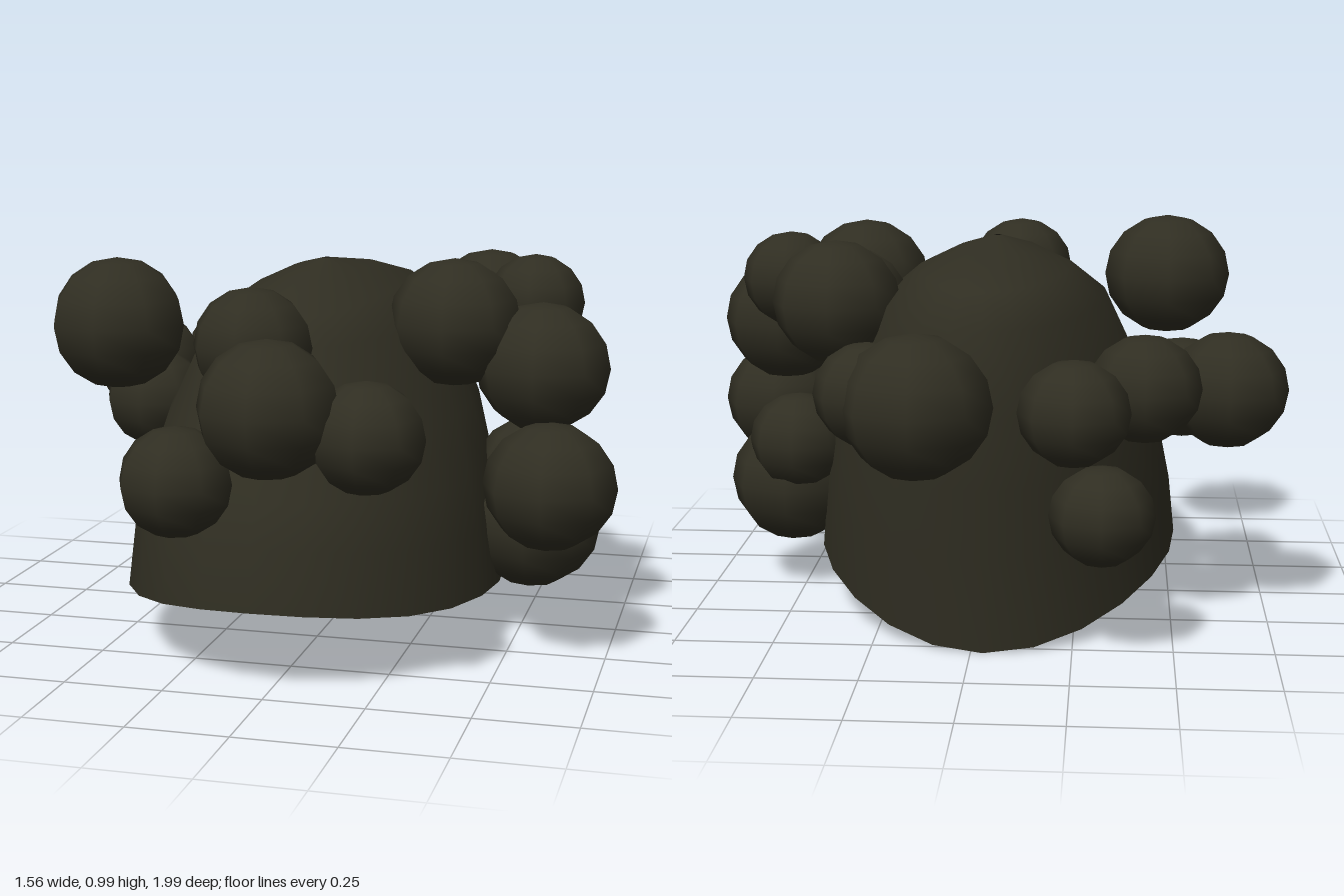
import * as THREE from 'three';

const coat = new THREE.MeshStandardMaterial({ color: 0x302e22 });
coat.name = 'dark olive';
coat.side = THREE.DoubleSide;

// Open dome: each ring is set by its front, back and side points
function domeGeometry() {
  // zFront, yFront, zBack, yBack, halfWidth, ySide, skew
  const rings = [
    [0.755, 0.22, -0.54, 0.01, 0.485, 0.152, 0.07],
    [0.74, 0.37, -0.56, 0.25, 0.468, 0.31, 0.04],
    [0.70, 0.47, -0.58, 0.43, 0.44, 0.45, 0.02],
    [0.66, 0.555, -0.595, 0.61, 0.395, 0.61, 0],
    [0.545, 0.81, -0.585, 0.82, 0.295, 0.83, 0],
    [0.44, 0.87, -0.5, 0.90, 0.20, 0.91, 0],
    [0.25, 0.94, -0.28, 0.945, 0.10, 0.955, 0],
    [0.04, 0.98, 0.02, 0.98, 0.01, 0.98, 0],
  ];
  const n = 24, pos = [], idx = [];
  rings.forEach(([zf, yf, zb, yb, w, ys, k], i) => {
    for (let j = 0; j < n; j++) {
      const t = (j / n) * Math.PI * 2, c = Math.cos(t);
      const tilt = (yf - yb) / 2, bow = (yf + yb) / 2 - ys;
      pos.push(
        -0.03 + w * Math.sin(t),
        ys + tilt * c + bow * c * c - k * c * (1 - c * c),
        (zf + zb) / 2 + ((zf - zb) / 2) * c,
      );
      if (i === rings.length - 1) continue;
      const a = i * n + j, b = i * n + ((j + 1) % n);
      idx.push(a, b, a + n, b, b + n, a + n);
    }
  });
  const g = new THREE.BufferGeometry();
  g.setAttribute('position', new THREE.Float32BufferAttribute(pos, 3));
  g.setIndex(idx);
  g.computeVertexNormals();
  return g;
}

// Round curls: x, y, z, radius
const curls = {
  frontCurl: [
    [0.04, 0.72, 0.82, 0.168],
    [0.255, 0.655, 0.765, 0.137],
    [-0.22, 0.515, 0.71, 0.14],
    [-0.066, 0.825, 0.585, 0.147],
  ],
  leftCurl: [
    [0.34, 0.84, 0.175, 0.17],
    [0.56, 0.73, 0.14, 0.172],
    [0.61, 0.465, 0.325, 0.167],
    [0.53, 0.30, 0.04, 0.176],
    [0.50, 0.43, -0.05, 0.135],
    [0.51, 0.87, -0.055, 0.13],
    [0.34, 0.82, -0.08, 0.14],
    [0.37, 0.83, -0.20, 0.167],
  ],
  rightCurl: [
    [-0.49, 0.835, 0.36, 0.175],
    [-0.525, 0.58, 0, 0.14],
    [-0.63, 0.625, -0.255, 0.155],
    [-0.42, 0.65, -0.385, 0.142],
  ],
  backCurl: [
    [-0.32, 0.37, -0.555, 0.13],
    [-0.255, 0.67, -0.78, 0.13],
    [0.10, 0.69, -0.825, 0.176],
    [0.215, 0.705, -0.765, 0.127],
  ],
};

export function createModel() {
  const model = new THREE.Group();
  model.name = 'curlyCap';

  const dome = new THREE.Mesh(domeGeometry(), coat);
  dome.name = 'dome';
  model.add(dome);

  const ball = new THREE.SphereGeometry(1, 8, 8);
  for (const [name, list] of Object.entries(curls)) {
    list.forEach(([x, y, z, r], i) => {
      const curl = new THREE.Mesh(ball, coat);
      curl.name = name + (i + 1);
      curl.position.set(x, y, z);
      curl.scale.set(r, r * 0.95, r);
      model.add(curl);
    });
  }
  return model;
}
